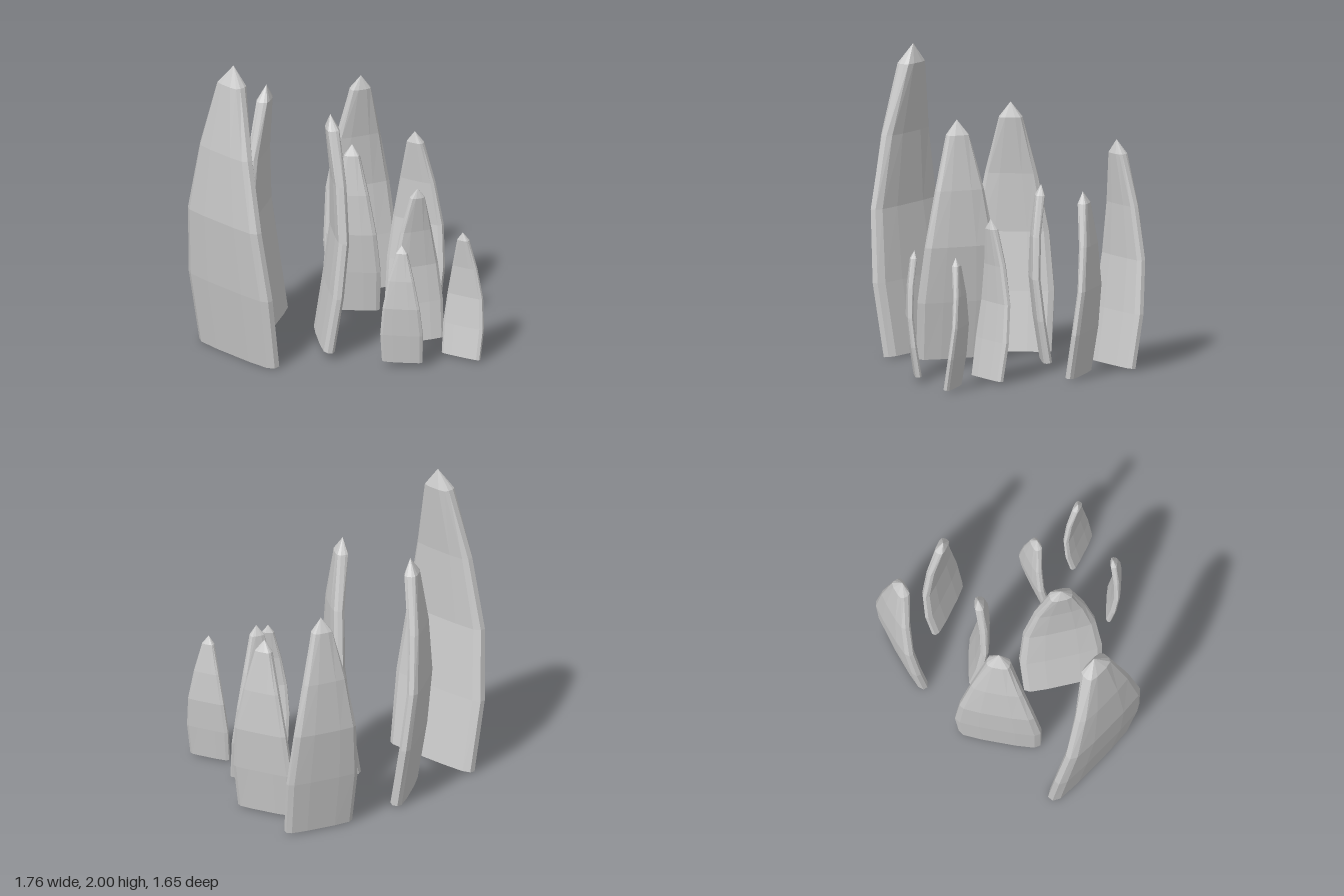
import * as THREE from 'three';

// rings of a unit-height blade: height, bow offset, half-width factor, half-thickness
const RINGS = [
  [0, 0.025, 0.95, 0.028],
  [0.24, -0.0125, 1, 0.028],
  [0.475, -0.0385, 0.87, 0.027],
  [0.71, -0.0325, 0.6, 0.027],
  [0.938, -0.0075, 0.27, 0.027],
];

// one quarter of the chamfered cross-section, mirrored into a full loop
const QUARTER = [[1, 0.35], [0.87, 0.82], [0.42, 1]];
const back = [...QUARTER].reverse();
const SECTION = [
  ...QUARTER,
  ...back.map(([x, z]) => [-x, z]),
  ...QUARTER.map(([x, z]) => [-x, -z]),
  ...back.map(([x, z]) => [x, -z]),
];

function bladeGeometry(width, height) {
  const n = SECTION.length;
  const pos = [];
  const idx = [];
  RINGS.forEach(([y, bow, w, t], r) => {
    for (const [sx, sz] of SECTION) {
      const dz = sz * t * height;
      // the foot is cut square to the lean of the blade
      const dy = r === 0 ? 0.12 * dz : 0;
      pos.push(sx * w * width / 2, y * height + dy, bow * height + dz);
    }
  });
  const tip = RINGS.length * n;
  const foot = tip + 1;
  pos.push(0, height, 0);
  pos.push(0, 0, RINGS[0][1] * height);
  for (let j = 0; j < n; j++) {
    const k = (j + 1) % n;
    for (let r = 0; r < RINGS.length - 1; r++) {
      const a = r * n + j, b = r * n + k;
      idx.push(a, a + n, b, b, a + n, b + n);
    }
    const top = (RINGS.length - 1) * n;
    idx.push(top + j, tip, top + k); // pointed tip
    idx.push(foot, j, k); // flat foot
  }
  const g = new THREE.BufferGeometry();
  g.setAttribute('position', new THREE.Float32BufferAttribute(pos, 3));
  g.setIndex(idx);
  const flat = g.toNonIndexed();
  flat.computeVertexNormals();
  return flat;
}

// name, tip x, tip z, turn in degrees, width, foot height, tip height
const BLADES = [
  ['tallBlade', -0.755, -0.34, 90, 0.76, 0.01, 2.0],
  ['backBlade', -0.2, -0.64, 32, 0.56, 0.015, 1.635],
  ['middleBlade', -0.19, -0.04, 236, 0.54, 0.055, 1.605],
  ['backLeftBlade', 0.63, -0.655, -18, 0.5, 0.015, 1.475],
  ['innerBlade', 0.265, -0.335, 132, 0.37, 0.05, 1.19],
  ['leftBlade', 0.69, -0.205, -73, 0.42, 0.015, 1.205],
  ['frontInnerBlade', 0.297, 0.258, -20, 0.35, 0.015, 1.05],
  ['frontRightBlade', -0.1, 0.545, 130, 0.275, 0.04, 0.845],
  ['frontLeftBlade', 0.317, 0.667, -73, 0.295, 0.015, 0.86],
];

export function createModel() {
  const model = new THREE.Group();
  model.name = 'bladeCluster';
  const material = new THREE.MeshStandardMaterial({ color: 0xcccccc, flatShading: true });
  for (const [name, x, z, turn, width, foot, top] of BLADES) {
    const blade = new THREE.Mesh(bladeGeometry(width, top - foot), material);
    blade.name = name;
    blade.position.set(x, foot, z);
    blade.rotation.y = THREE.MathUtils.degToRad(turn);
    model.add(blade);
  }
  return model;
}
